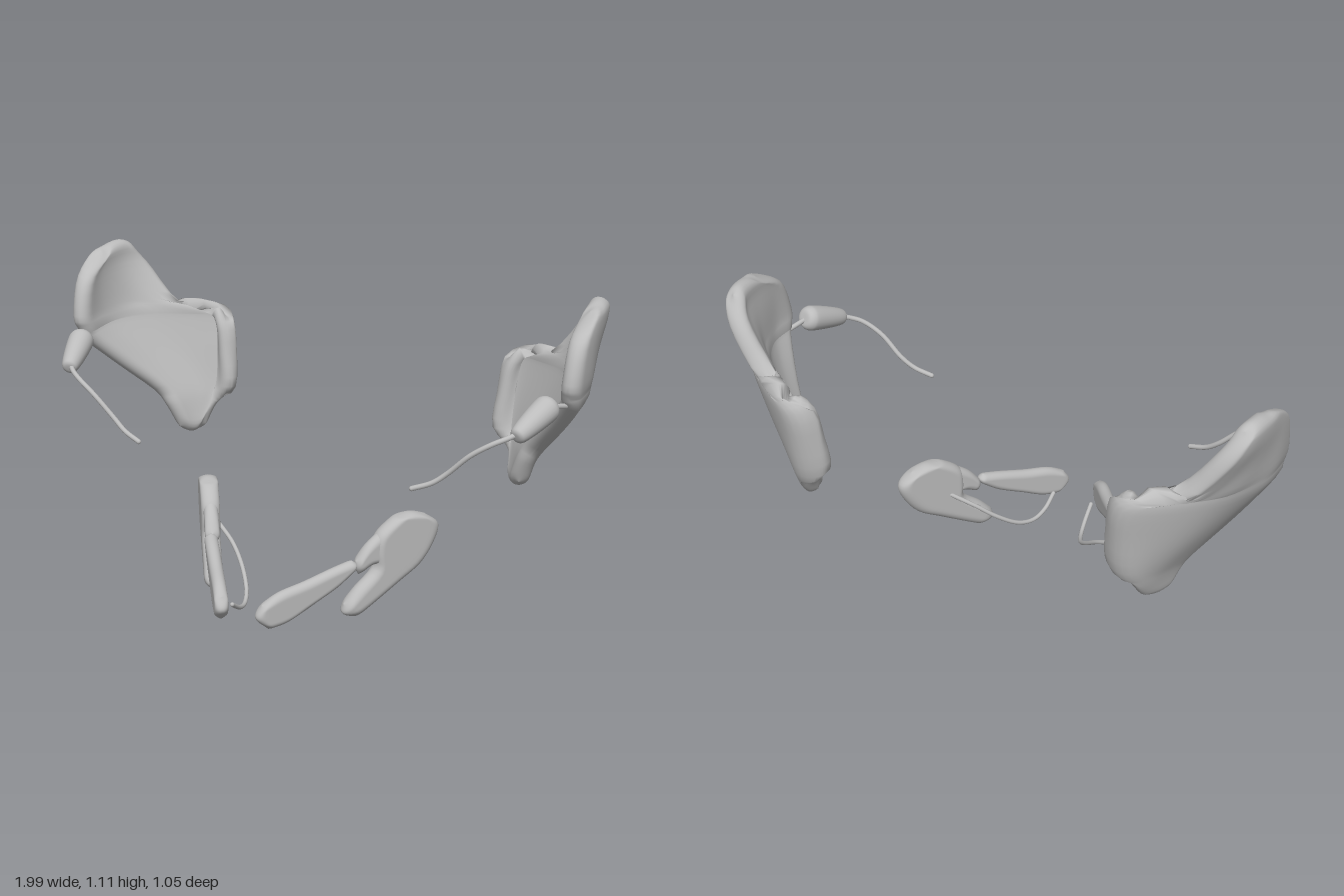
import * as THREE from 'three';
import { mergeVertices } from 'three/addons/utils/BufferGeometryUtils.js';

const V = (p) => new THREE.Vector3(...p);
const grey = new THREE.MeshStandardMaterial({ color: 0xbcbcbc });
grey.name = 'grey';

// Smooth padded shell: rows of control points give the middle surface,
// which is thickened along its normal and given a round rim.
function shell(rows, half, side, n = 36) {
  const across = rows.map((r) => new THREE.CatmullRomCurve3(
    r.map(([x, y, z]) => V([x * side, y, z])), false, 'catmullrom', 0.5));
  const at = (u, v) => new THREE.CatmullRomCurve3(
    across.map((c) => c.getPoint(u)), false, 'catmullrom', 0.5).getPoint(v);
  const clamp = (t) => Math.min(1, Math.max(0, t));
  const rim = (t, length) => {
    const d = Math.min(1, (Math.min(t, 1 - t) * length) / Math.min(half, length / 2));
    return Math.sqrt(1 - (1 - d) ** 2);
  };
  const ease = (i) => (1 - Math.cos((Math.PI * i) / n)) / 2;
  const pos = [], index = [], count = (n + 1) * (n + 1), e = 0.02;
  for (const face of [1, -1]) {
    for (let j = 0; j <= n; j++) {
      for (let i = 0; i <= n; i++) {
        const u = ease(i), v = ease(j);
        const du = at(clamp(u + e), v).sub(at(clamp(u - e), v));
        const dv = at(u, clamp(v + e)).sub(at(u, clamp(v - e)));
        const width = at(0, v).distanceTo(at(1, v)), height = at(u, 0).distanceTo(at(u, 1));
        const edge = i === 0 || j === 0 || i === n || j === n;
        const h = edge ? 0 : half * rim(u, width) * rim(v, height) * face;
        pos.push(...at(u, v).addScaledVector(du.cross(dv).normalize(), h).toArray());
      }
    }
    const o = face > 0 ? 0 : count;
    for (let j = 0; j < n; j++) {
      for (let i = 0; i < n; i++) {
        const a = o + j * (n + 1) + i, b = a + 1, c = a + n + 1, d = c + 1;
        if (face > 0) index.push(a, b, c, b, d, c);
        else index.push(a, c, b, b, c, d);
      }
    }
  }
  let g = new THREE.BufferGeometry();
  g.setAttribute('position', new THREE.Float32BufferAttribute(pos, 3));
  g.setIndex(index);
  g = mergeVertices(g, 1e-5);
  g.computeVertexNormals();
  return g;
}

// Round wire with small closed ends
function wire(points, radius, side) {
  const pts = points.map(([x, y, z]) => V([x * side, y, z]));
  const group = new THREE.Group();
  group.add(new THREE.Mesh(
    new THREE.TubeGeometry(new THREE.CatmullRomCurve3(pts), 40, radius, 10), grey));
  for (const p of [pts[0], pts[pts.length - 1]]) {
    const cap = new THREE.Mesh(new THREE.SphereGeometry(radius, 10, 8), grey);
    cap.position.copy(p);
    group.add(cap);
  }
  return group;
}

// Tapered capsule from a to b
function capsule(a, b, side) {
  const from = V([a[0] * side, a[1], a[2]]), to = V([b[0] * side, b[1], b[2]]);
  const dir = to.clone().sub(from), L = dir.length();
  const profile = new THREE.SplineCurve([
    [0, 0], [0.028, 0.002], [0.043, 0.018], [0.046, 0.045], [0.04, L * 0.6],
    [0.031, L - 0.02], [0.02, L - 0.003], [0, L],
  ].map(([r, y]) => new THREE.Vector2(r, y))).getPoints(36);
  profile.forEach((p) => { p.x = Math.max(0, p.x); });
  const m = new THREE.Mesh(new THREE.LatheGeometry(profile, 24), grey);
  m.position.copy(from);
  m.quaternion.setFromUnitVectors(new THREE.Vector3(0, 1, 0), dir.normalize());
  return m;
}

// Upper plate, from the lower tip to the crown; each row runs from the front
// edge to the back ridge and round it to the lip that folds inwards
const upperPlate = [
  [[0.69, 0.41, -0.29], [0.675, 0.39, -0.315], [0.66, 0.383, -0.335], [0.645, 0.39, -0.355], [0.625, 0.405, -0.375]],
  [[0.725, 0.5, -0.262], [0.7, 0.49, -0.32], [0.67, 0.485, -0.375], [0.64, 0.48, -0.415], [0.605, 0.485, -0.44]],
  [[0.765, 0.56, -0.243], [0.73, 0.555, -0.32], [0.68, 0.55, -0.4], [0.61, 0.54, -0.455], [0.535, 0.553, -0.42]],
  [[0.865, 0.68, -0.14], [0.82, 0.68, -0.28], [0.745, 0.68, -0.39], [0.615, 0.68, -0.478], [0.547, 0.685, -0.43]],
  [[0.94, 0.79, -0.045], [0.92, 0.8, -0.2], [0.82, 0.8, -0.36], [0.635, 0.8, -0.492], [0.57, 0.8, -0.443]],
  [[0.948, 0.83, -0.022], [0.935, 0.84, -0.19], [0.85, 0.84, -0.34], [0.69, 0.832, -0.465], [0.625, 0.836, -0.487]],
  [[0.952, 0.88, -0.008], [0.952, 0.885, -0.15], [0.905, 0.88, -0.29], [0.83, 0.87, -0.375], [0.755, 0.852, -0.428]],
  [[0.955, 1.01, -0.055], [0.96, 1.015, -0.145], [0.95, 1.015, -0.25], [0.925, 1.01, -0.335], [0.885, 1, -0.4]],
  [[0.955, 1.09, -0.19], [0.958, 1.102, -0.23], [0.955, 1.11, -0.27], [0.95, 1.11, -0.31], [0.94, 1.095, -0.345]],
];

// Lower parts lie on slanted upright planes, so z and y are enough
const onPlane = (x0, slope, rows) => rows.map((r) => r.map(([z, y]) => [x0 + slope * z, y, z]));
const lowerPlate = onPlane(0.405, -0.65, [
  [[0.23, 0.06], [0.232, 0.025], [0.19, 0.004]],
  [[0.19, 0.11], [0.165, 0.075], [0.135, 0.04]],
  [[0.13, 0.17], [0.09, 0.14], [0.04, 0.105]],
  [[0.13, 0.23], [0.06, 0.2], [-0.03, 0.155]],
  [[0.12, 0.29], [0.04, 0.25], [-0.075, 0.225]],
  [[0.07, 0.335], [0, 0.31], [-0.09, 0.29]],
  [[0.04, 0.345], [0, 0.35], [-0.045, 0.335]],
]);
const lowerHook = onPlane(0.405, -0.65, [
  [[0.09, 0.315], [0.08, 0.24], [0.09, 0.18]],
  [[0.15, 0.265], [0.145, 0.225], [0.135, 0.185]],
  [[0.19, 0.21], [0.19, 0.185], [0.18, 0.16]],
]);
const frontPad = onPlane(0.424, -0.7, [
  [[0.21, 0.22], [0.196, 0.205], [0.2, 0.185]],
  [[0.27, 0.205], [0.265, 0.17], [0.26, 0.133]],
  [[0.36, 0.178], [0.35, 0.13], [0.345, 0.085]],
  [[0.44, 0.158], [0.43, 0.1], [0.415, 0.046]],
  [[0.495, 0.125], [0.513, 0.08], [0.475, 0.033]],
]);

export function createModel() {
  const model = new THREE.Group();
  for (const [side, label] of [[1, 'left'], [-1, 'right']]) {
    const half = new THREE.Group();
    half.name = `${label}Half`;
    const add = (name, part) => {
      part.name = `${label}${name}`;
      half.add(part);
    };
    const pad = (name, rows, thick) =>
      add(name, new THREE.Mesh(shell(rows, thick, side), grey));

    // Padded plates
    pad('UpperPlate', upperPlate, 0.035);
    pad('LowerPlate', lowerPlate, 0.034);
    pad('LowerHook', lowerHook, 0.026);
    pad('FrontPad', frontPad, 0.024);

    // Capsule and its wires
    add('Capsule', capsule([0.908, 0.822, 0.025], [0.855, 0.752, 0.205], side));
    add('Connector', wire([[0.935, 0.8, -0.04], [0.92, 0.808, 0], [0.905, 0.815, 0.05]], 0.009, side));
    add('UpperWire', wire([[0.865, 0.765, 0.18], [0.83, 0.748, 0.215], [0.79, 0.73, 0.238],
      [0.72, 0.685, 0.252], [0.64, 0.61, 0.252], [0.59, 0.572, 0.262], [0.525, 0.547, 0.277]], 0.009, side));

    // Wire running from the lower plate under the front pad
    add('LowerWire', wire([[0.33, 0.2, 0.06], [0.25, 0.15, 0.1], [0.185, 0.09, 0.15],
      [0.13, 0.035, 0.22], [0.1, 0.016, 0.29], [0.085, 0.03, 0.355], [0.08, 0.065, 0.415]], 0.008, side));
    model.add(half);
  }
  return model;
}
